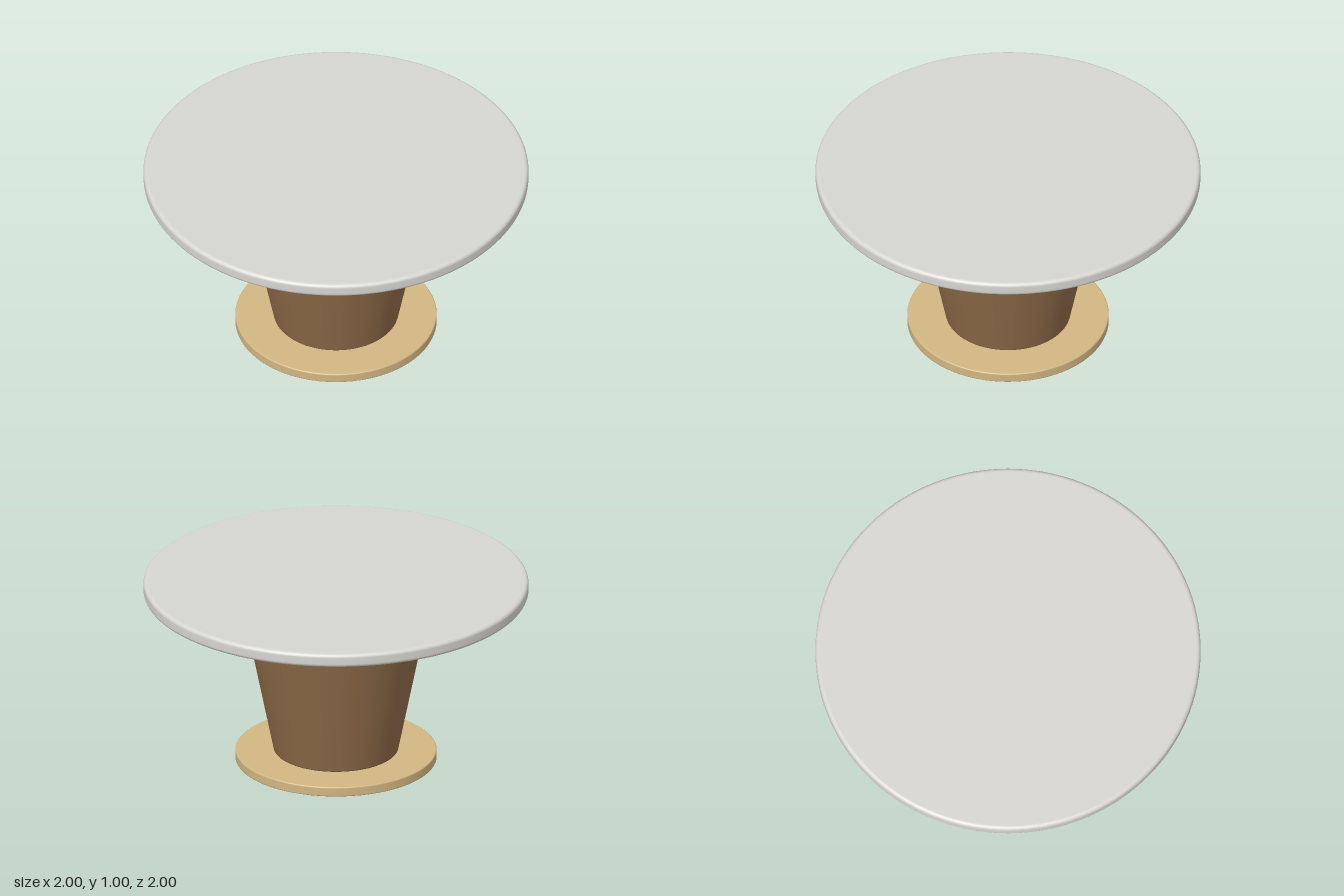
import * as THREE from 'three';

const marble = new THREE.MeshStandardMaterial({ name: 'pale stone', color: 0xd6d5d0 });
const wood = new THREE.MeshStandardMaterial({ name: 'brown wood', color: 0x8f6b48 });
const brass = new THREE.MeshStandardMaterial({ name: 'light brass', color: 0xd2b683 });

// Solid of revolution with rounded rims; the side may flare from bottom to top
function roundedDisc(name, material, rBottom, rTop, y0, y1, bevel) {
  const steps = 6;
  const tilt = -Math.atan2(rTop - rBottom, y1 - y0 - 2 * bevel);
  const points = [new THREE.Vector2(0, y0), new THREE.Vector2(rBottom - bevel - 0.004, y0)];
  const arc = (cx, cy, from, to) => {
    for (let i = 0; i <= steps; i++) {
      const a = from + ((to - from) * i) / steps;
      points.push(new THREE.Vector2(cx + bevel * Math.cos(a), cy + bevel * Math.sin(a)));
    }
  };
  arc(rBottom - bevel, y0 + bevel, -Math.PI / 2, tilt);
  arc(rTop - bevel, y1 - bevel, tilt, Math.PI / 2);
  points.push(new THREE.Vector2(rTop - bevel - 0.004, y1), new THREE.Vector2(0, y1));
  const mesh = new THREE.Mesh(new THREE.LatheGeometry(points, 128), material);
  mesh.name = name;
  return mesh;
}

export function createModel() {
  const table = new THREE.Group();
  table.name = 'roundTable';
  table.add(
    roundedDisc('basePlate', brass, 0.523, 0.523, 0, 0.053, 0.007),
    roundedDisc('pedestal', wood, 0.325, 0.497, 0.053, 0.93, 0.012),
    roundedDisc('tableTop', marble, 1, 1, 0.93, 1.003, 0.02)
  );
  return table;
}
